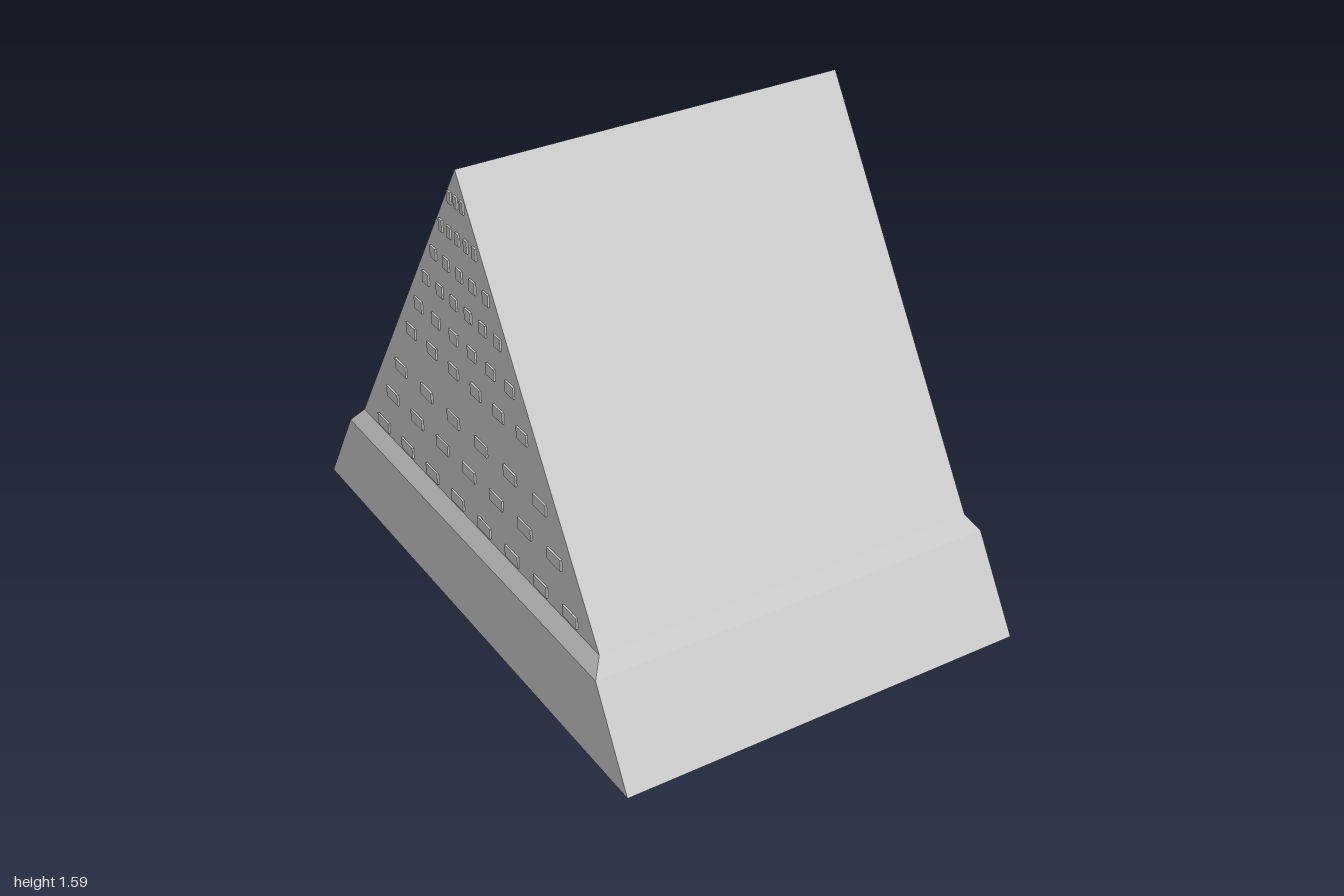
import * as THREE from 'three';

const material = new THREE.MeshStandardMaterial({ color: 0xcccccc, flatShading: true });

// Cross-sections [half x, y, half z]: recessed floor, base rim, ledge, roof foot, ridge
const SECTIONS = [
  [0.68, 0.06, 0.95],
  [0.71, 0, 1],
  [0.706, 0.305, 0.82],
  [0.669, 0.357, 0.78],
  [0.669, 1.585, 0],
];
const RIDGE = 1.585;
const SLOPE = 0.78 / (RIDGE - 0.357);

// Skins rectangular sections into one closed body
function buildBody() {
  const corners = [[1, 1], [1, -1], [-1, -1], [-1, 1]];
  const rings = SECTIONS.map(([hx, y, hz]) =>
    corners.map(([sx, sz]) => new THREE.Vector3(sx * hx, y, sz * hz)));
  const points = [];
  const triangle = (a, b, c) => {
    if (a.distanceTo(b) * b.distanceTo(c) * c.distanceTo(a) > 1e-9) points.push(a, b, c);
  };
  for (let r = 0; r < rings.length - 1; r++) {
    for (let i = 0; i < 4; i++) {
      const j = (i + 1) % 4;
      triangle(rings[r][i], rings[r][j], rings[r + 1][j]);
      triangle(rings[r][i], rings[r + 1][j], rings[r + 1][i]);
    }
  }
  // Underside floor
  const f = rings[0];
  triangle(f[2], f[1], f[0]);
  triangle(f[3], f[2], f[0]);
  const geometry = new THREE.BufferGeometry().setFromPoints(points);
  geometry.computeVertexNormals();
  return geometry;
}

// Window rows on the gables: [y, count, width]
const ROWS = [
  [0.39, 8, 0.08],
  [0.545, 7, 0.08],
  [0.69, 6, 0.075],
  [0.875, 6, 0.06],
  [1.0, 6, 0.05],
  [1.125, 6, 0.04],
  [1.24, 5, 0.035],
  [1.36, 5, 0.022],
  [1.48, 3, 0.02],
];

export function createModel() {
  const group = new THREE.Group();
  group.name = 'wedgeBuilding';

  const body = new THREE.Mesh(buildBody(), material);
  body.name = 'body';
  group.add(body);

  // Slightly raised windows on both triangular ends
  for (const side of [1, -1]) {
    const windows = new THREE.Group();
    windows.name = side > 0 ? 'leftWindows' : 'rightWindows';
    for (const [y, count, width] of ROWS) {
      const span = (RIDGE - y) * SLOPE * 0.88 - width / 2 - 0.01;
      const geometry = new THREE.BoxGeometry(0.02, 0.04, width);
      for (let i = 0; i < count; i++) {
        const pane = new THREE.Mesh(geometry, material);
        pane.name = 'window';
        pane.position.set(side * 0.665, y, span * (1 - (2 * i) / (count - 1)));
        windows.add(pane);
      }
    }
    group.add(windows);
  }
  return group;
}
